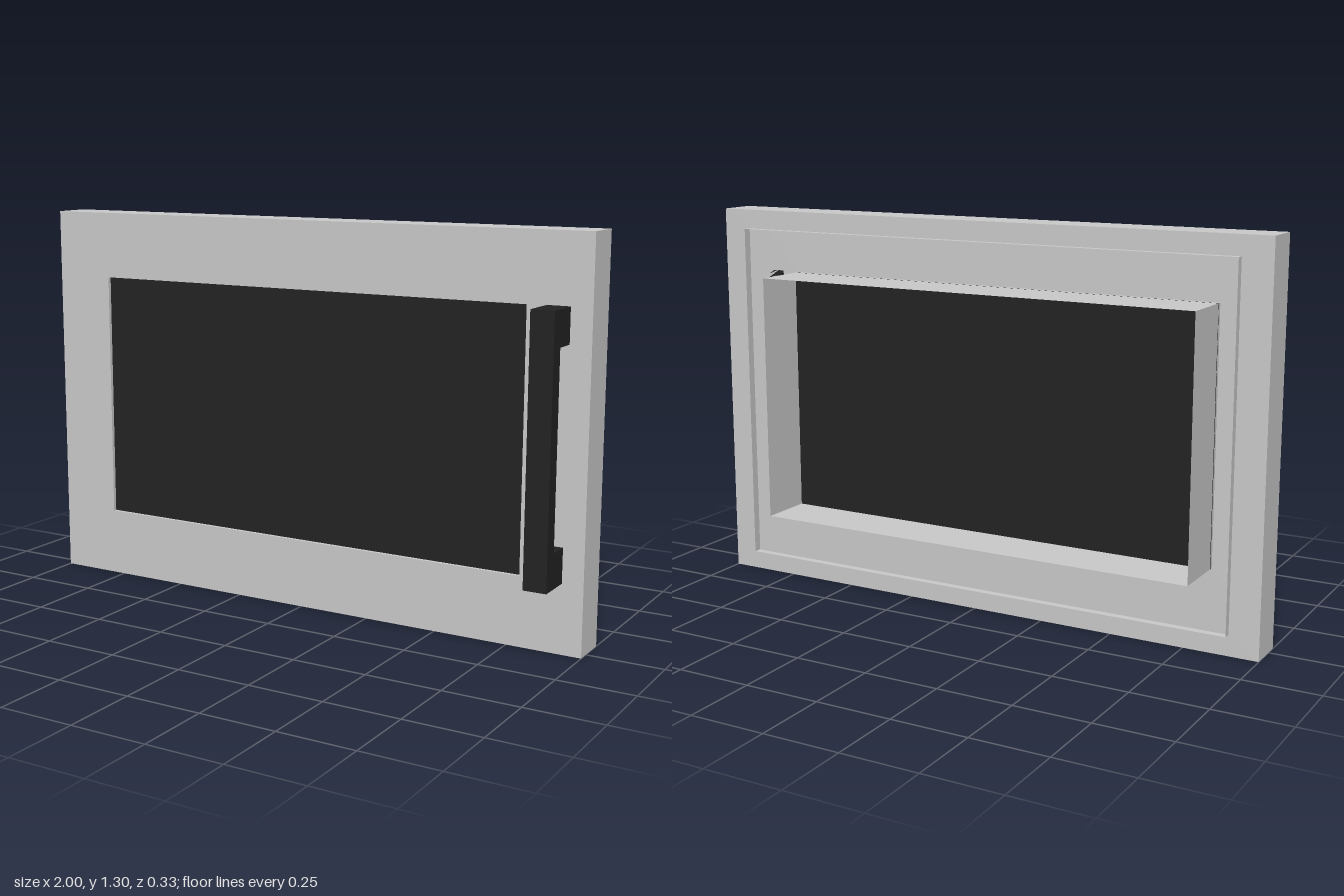
import * as THREE from 'three';

export function createModel() {
  const model = new THREE.Group();
  model.name = 'ovenDoor';
  const steel = new THREE.MeshStandardMaterial({ color: 0xc7c7c8, side: THREE.DoubleSide });
  steel.name = 'light grey steel';
  const black = new THREE.MeshStandardMaterial({ color: 0x222222, side: THREE.DoubleSide });
  black.name = 'black';

  // Rectangles as half width, bottom, top
  const outer = [1, 0, 1.3];
  const sealRect = [0.9, 0.07, 1.235];
  const windowRect = [0.79, 0.23, 1.075];
  const zFront = 0.04, zBack = -0.09;

  const corners = ([w, b, t]) => [[-w, b], [w, b], [w, t], [-w, t]].map(p => new THREE.Vector2(...p));

  function add(name, geometry, material, parent = model) {
    const mesh = new THREE.Mesh(geometry, material);
    mesh.name = name;
    parent.add(mesh);
    return mesh;
  }

  // Flat sheet with a rectangular opening
  function sheet(name, rect, hole, z, facing) {
    const shape = new THREE.Shape(corners(rect));
    shape.holes.push(new THREE.Path(corners(hole).reverse()));
    const geometry = new THREE.ShapeGeometry(shape);
    if (facing < 0) geometry.rotateY(Math.PI);
    add(name, geometry.translate(0, 0, z), steel);
  }

  // Four thin walls around a rectangle, open at front and back
  function walls(name, [w, b, t], z0, z1) {
    const group = new THREE.Group();
    group.name = name;
    model.add(group);
    const d = z1 - z0, z = (z0 + z1) / 2, h = t - b;
    for (const s of [-1, 1]) {
      add('sideWall', new THREE.PlaneGeometry(d, h).rotateY(s * Math.PI / 2)
        .translate(s * w, (b + t) / 2, z), steel, group);
      add(s > 0 ? 'topWall' : 'bottomWall', new THREE.PlaneGeometry(2 * w, d)
        .rotateX(-s * Math.PI / 2).translate(0, s > 0 ? t : b, z), steel, group);
    }
  }

  // Hollow door shell
  sheet('frontPanel', outer, windowRect, zFront, 1);
  sheet('backPanel', outer, sealRect, zBack, -1);
  walls('doorEdges', outer, zBack, zFront);

  // Raised lip round the rear opening, and the deep window surround
  walls('rearLip', sealRect, -0.115, zBack);
  walls('windowSurround', windowRect, -0.163, zFront);

  // Window glass, set just behind the front panel
  const [w, b, t] = windowRect;
  add('windowGlass', new THREE.BoxGeometry(2 * w, t - b, 0.004)
    .translate(0, (b + t) / 2, 0.026), black);

  // Handle: one bracket-shaped profile extruded across its width
  const profile = new THREE.Shape([
    [0.04, 0.227], [0.165, 0.227], [0.165, 1.077], [0.04, 1.077],
    [0.04, 0.963], [0.114, 0.963], [0.114, 0.341], [0.04, 0.341],
  ].map(p => new THREE.Vector2(...p)));
  add('handle', new THREE.ExtrudeGeometry(profile, { depth: 0.076, bevelEnabled: false })
    .rotateY(-Math.PI / 2).translate(0.93, 0, 0), black);

  return model;
}
